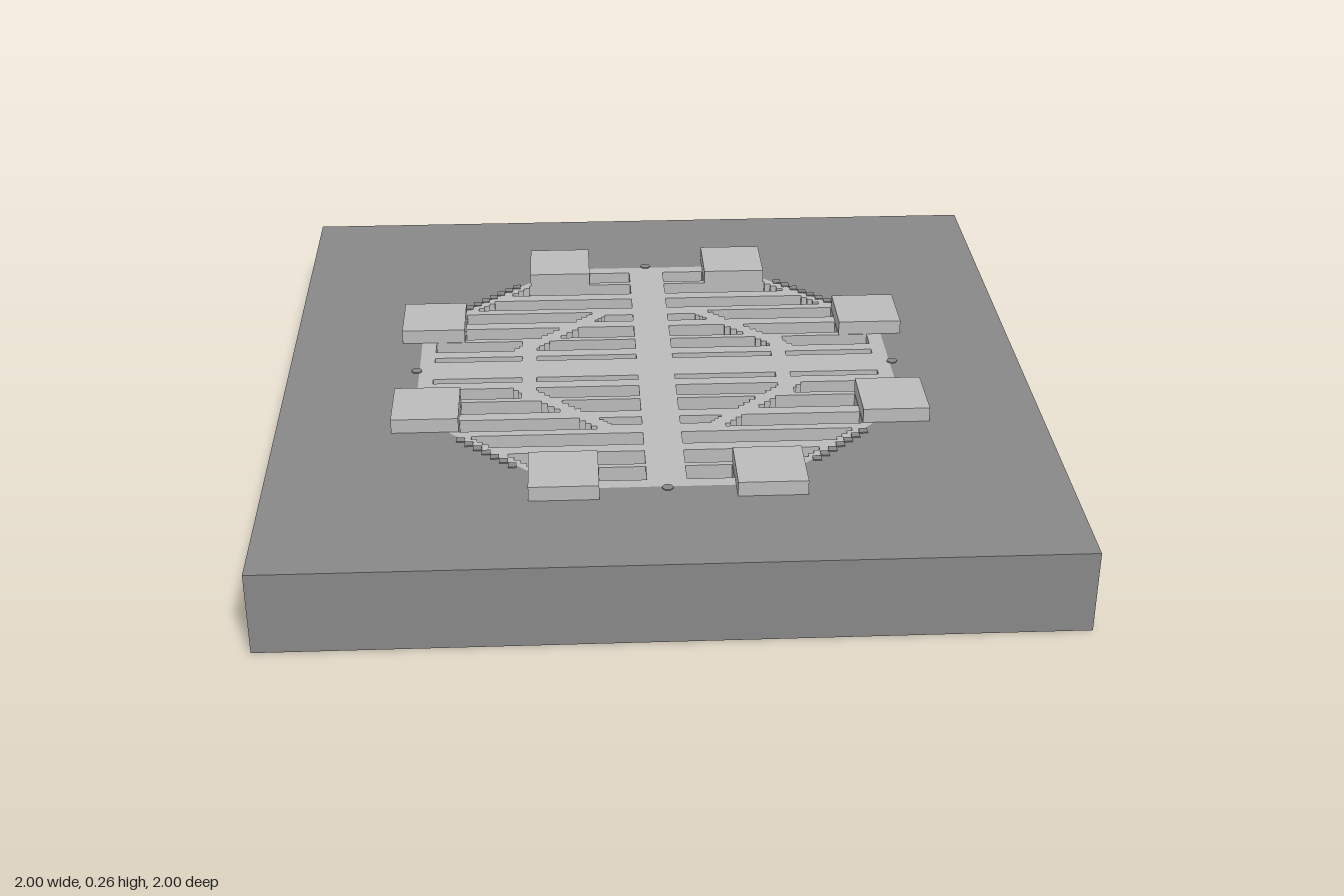
import * as THREE from 'three';

const TOP = 0.217;      // level of the slab and the grate
const FLOOR = 0.178;    // bottom of the slots

const slabGrey = new THREE.MeshStandardMaterial({ color: 0x888888 });
slabGrey.name = 'slab grey';
const grateGrey = new THREE.MeshStandardMaterial({ color: 0xbbbbbb });
grateGrey.name = 'grate grey';

const QUADRANTS = [[1, 1], [-1, 1], [-1, -1], [1, -1]];
const toPath = (pts) => pts.map(([x, y]) => new THREE.Vector2(x, y));

// Stepped outline of one slot between z0 and z1, with its ends given as functions of z
function slotOutline(z0, z1, start, end) {
  const n = 4, near = [], far = [];
  for (let i = 0; i < n; i++) {
    const a = z0 + (z1 - z0) * i / n, b = z0 + (z1 - z0) * (i + 1) / n, m = (a + b) / 2;
    far.push([end(m), a], [end(m), b]);
    near.push([start(m), a], [start(m), b]);
  }
  return far.concat(near.reverse());
}

// Outline of the grate: an octagon with a widened arm on each side
function grateOutline() {
  const corner = [[0.645, 0.17], [0.55, 0.17], [0.55, 0.35], [0.35, 0.55], [0.17, 0.55], [0.17, 0.645]];
  return QUADRANTS.flatMap(([sx, sz]) => {
    const pts = corner.map(([x, z]) => [x * sx, z * sz]);
    return sx * sz > 0 ? pts : pts.reverse();
  });
}

// Flat shape laid on its back, from y0 up to y1
function layer(shape, y0, y1) {
  const g = new THREE.ExtrudeGeometry(shape, { depth: y1 - y0, bevelEnabled: false });
  return g.rotateX(-Math.PI / 2).translate(0, y0, 0);
}

export function createModel() {
  const model = new THREE.Group();
  const add = (name, geometry, material, parent = model) => {
    const mesh = new THREE.Mesh(geometry, material);
    mesh.name = name;
    parent.add(mesh);
    return mesh;
  };
  const group = (name) => {
    const g = new THREE.Group();
    g.name = name;
    model.add(g);
    return g;
  };

  // Slab: solid base and an upper layer open around the grate
  add('slabBase', new THREE.BoxGeometry(2, 0.17, 2).translate(0, 0.085, 0), slabGrey);
  const rim = new THREE.Shape(toPath([[-1, -1], [1, -1], [1, 1], [-1, 1]]));
  rim.holes.push(new THREE.Path(toPath(grateOutline())));
  add('slabRim', layer(rim, 0.17, TOP), slabGrey);

  // Floor below the slots
  add('grateFloor', layer(new THREE.Shape(toPath(grateOutline())), 0.17, FLOOR), grateGrey);

  // Grate: slots of one quadrant, mirrored into the other three
  const at = (x) => () => x;
  const inner = (z) => Math.min(0.325, 0.45 - z);
  const outer = (z) => Math.max(0.365, 0.505 - z);
  const edge = (z) => 0.87 - z;
  const slots = [
    [0.545, 0.61, at(0.05), at(0.168)],
    [0.465, 0.53, at(0.05), edge],
    [0.37, 0.43, at(0.05), edge],
    [0.285, 0.325, at(0.05), inner],
    [0.285, 0.345, outer0, at(0.525)],
    [0.185, 0.25, at(0.05), inner],
    [0.185, 0.25, outer0, at(0.525)],
    [0.11, 0.168, at(0.05), inner],
    [0.11, 0.168, outer, at(0.605)],
    [0.05, 0.075, at(0.05), at(0.325)],
    [0.05, 0.075, at(0.365), at(0.605)],
  ];
  function outer0(z) { return 0.505 - z; }

  const grate = new THREE.Shape(toPath(grateOutline()));
  for (const [sx, sz] of QUADRANTS) {
    for (const slot of slots) {
      grate.holes.push(new THREE.Path(toPath(slotOutline(...slot).map(([x, z]) => [x * sx, z * sz]))));
    }
  }
  add('grate', layer(grate, FLOOR, TOP), grateGrey);

  // Raised clamp blocks and the rows of studs along the slanted sides
  const blocks = group('clampBlocks');
  const studs = group('edgeStuds');
  const blockGeo = new THREE.BoxGeometry(0.174, 0.041, 0.174);
  const studGeo = new THREE.BoxGeometry(0.022, 0.006, 0.022);
  for (const [sx, sz] of QUADRANTS) {
    for (const [x, z] of [[0.257, 0.613], [0.613, 0.257]]) {
      add('clampBlock', blockGeo, grateGrey, blocks).position.set(x * sx, 0.2355, z * sz);
    }
    for (let i = 0; i < 7; i++) {
      const x = 0.385 + i * 0.0225;
      add('edgeStud', studGeo, slabGrey, studs).position.set(x * sx, TOP, (0.91 - x) * sz);
    }
  }

  // Round pins at the ends of the four arms
  const pins = group('armPins');
  const pinGeo = new THREE.CylinderGeometry(0.014, 0.014, 0.006, 12);
  for (const [x, z] of [[0.652, 0], [-0.652, 0], [0, 0.652], [0, -0.652]]) {
    add('armPin', pinGeo, slabGrey, pins).position.set(x, TOP, z);
  }
  return model;
}
